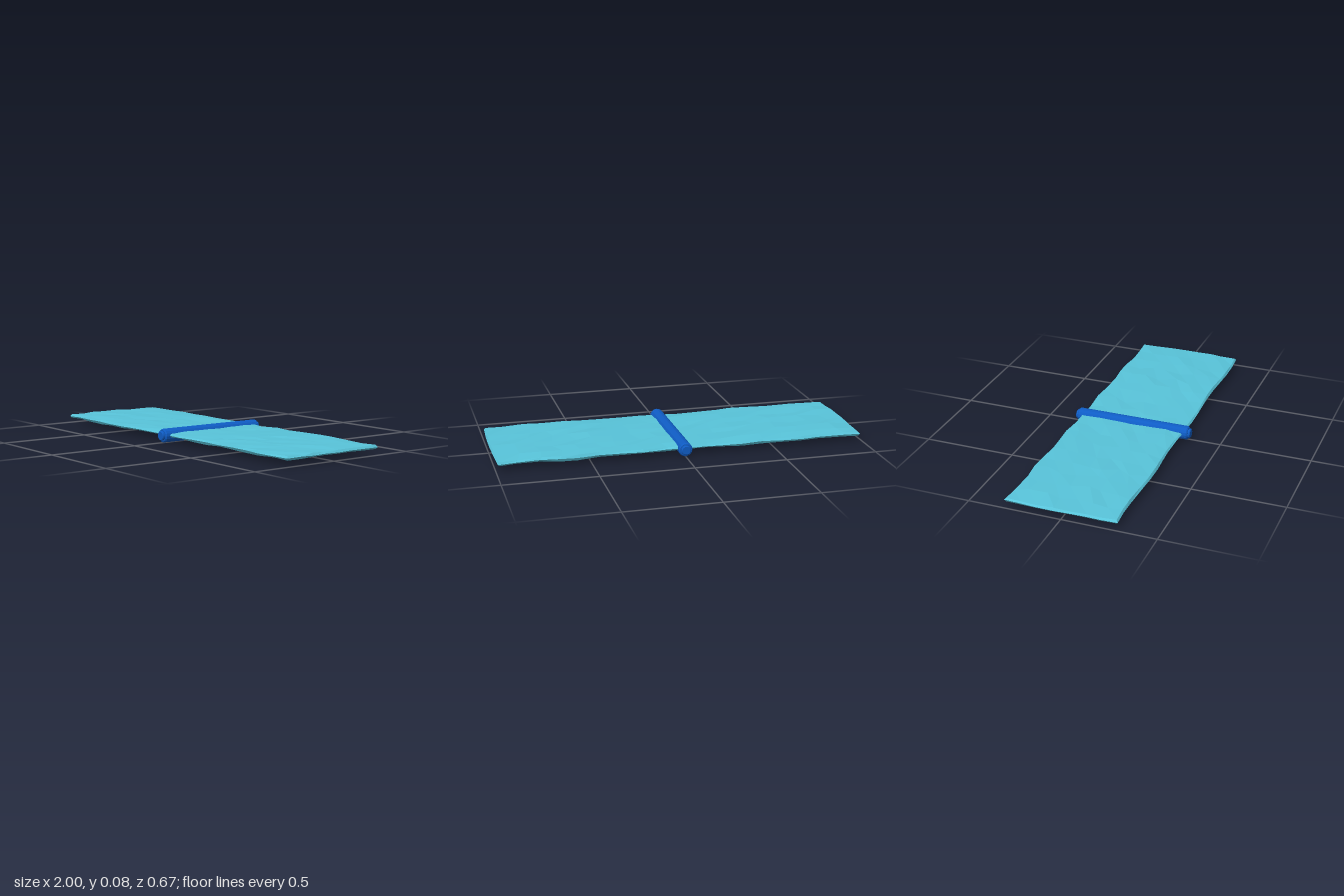
import * as THREE from 'three';

// Repeatable pseudo-random value in -1..1 for a grid point
function noise(a, b, c) {
  const s = Math.sin(a * 12.99 + b * 78.23 + c * 37.72) * 43758.55;
  return (s - Math.floor(s)) * 2 - 1;
}

// Hand-hewn slab: a subdivided box with bevelled rim, wavy edges and dented faces
function hewnBoard() {
  const geo = new THREE.BoxGeometry(2, 2, 2, 18, 2, 7);
  const p = geo.attributes.position;
  for (let i = 0; i < p.count; i++) {
    const u = p.getX(i), v = Math.round(p.getY(i)), w = p.getZ(i);
    const a = Math.round(u * 9), b = Math.round(w * 3.5 + 3.5);
    const endX = Math.abs(u) > 0.99, endZ = Math.abs(w) > 0.99;
    const inset = v === 0 ? 0 : 0.008; // top and bottom rims sit inside the middle row

    // long edges wave along x, more strongly at the back
    const back = 0.302 + 0.007 * Math.cos((Math.abs(u) - 0.62) * 2 * Math.PI / 0.37);
    const front = 0.293 - 0.006 * Math.cos((u + 0.83) * 2 * Math.PI / 0.65);
    let z = w * ((w < 0 ? back : front) - inset);
    let x = u * (0.998 - inset) - (endX ? Math.sign(u) * 0.009 * w * w : 0);
    if (!endX) x += 0.025 * noise(a, b, 1);
    if (!endZ) z += 0.018 * noise(a, b, 2);

    // shallow dents, shallower at the rim
    const swell = 0.002 * Math.cos((Math.abs(u) - 0.6) * 6);
    const dent = 0.0035 * noise(a, b, 3 + v);
    const half = endX || endZ ? 0.011 : 0.0145;
    const y = 0.04 + v * (half + swell) + dent * (v === 0 ? 0.6 : 1);
    p.setXYZ(i, x, y, z);
  }
  geo.computeVertexNormals();
  return geo;
}

export function createModel() {
  const group = new THREE.Group();
  const boardBlue = new THREE.MeshStandardMaterial({ color: 0x58c4da, flatShading: true });
  boardBlue.name = 'lightBlue';
  const rodBlue = new THREE.MeshStandardMaterial({ color: 0x0f5cc4, flatShading: true });
  rodBlue.name = 'deepBlue';

  const board = new THREE.Mesh(hewnBoard(), boardBlue);
  board.name = 'board';
  group.add(board);

  // Crossing rod with bevelled shoulders and a smaller knob at each end
  const half = [[0.032, 0.32], [0.0375, 0.314]];
  const knob = [[0, 0.333], [0.022, 0.333], [0.0265, 0.329], [0.0265, 0.32]];
  const top = [...knob, ...half];
  const profile = [
    ...top.map(([r, y]) => new THREE.Vector2(r, -y)),
    ...top.slice().reverse().map(([r, y]) => new THREE.Vector2(r, y)),
  ];
  const rod = new THREE.Mesh(new THREE.LatheGeometry(profile, 16), rodBlue);
  rod.name = 'crossRod';
  rod.rotation.x = Math.PI / 2;
  rod.position.y = 0.0375;
  group.add(rod);

  return group;
}
